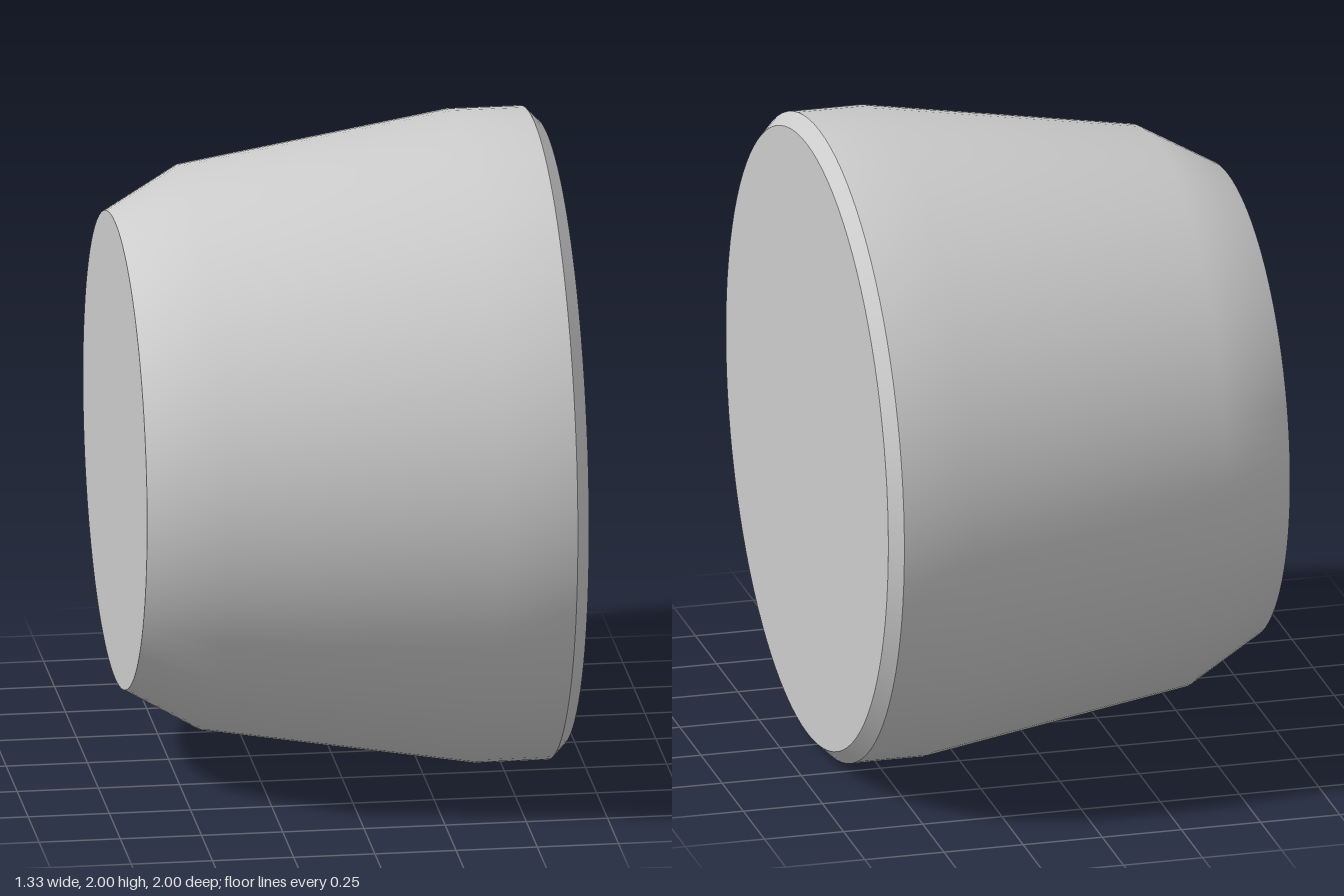
import * as THREE from 'three';

const SEGMENTS = 96;

export function createModel() {
  const group = new THREE.Group();
  group.name = 'taperedPlug';
  const grey = new THREE.MeshStandardMaterial({ color: 0xcccccc });
  grey.name = 'light grey';

  const add = (name, geometry) => {
    const mesh = new THREE.Mesh(geometry, grey);
    mesh.name = name;
    mesh.position.y = 1;
    group.add(mesh);
  };

  // Surface turned around the x axis from [x, radius] pairs
  const turned = (profile) =>
    new THREE.LatheGeometry(profile.map(([x, r]) => new THREE.Vector2(r, x)), SEGMENTS).rotateZ(-Math.PI / 2);

  // Flat disc at x, facing along side (+1 or -1)
  const disc = (x, r, side) =>
    new THREE.CircleGeometry(r, SEGMENTS).rotateY(side * Math.PI / 2).translate(x, 0, 0);

  // Smooth tapered body, sharp bevelled rim and flat ends
  add('body', turned([[-0.665, 0.733], [-0.435, 0.865], [0.4, 1], [0.625, 1]]));
  add('rimBevel', turned([[0.625, 1], [0.665, 0.96]]));
  add('wideEnd', disc(0.665, 0.96, 1));
  add('narrowEnd', disc(-0.665, 0.733, -1));

  return group;
}
